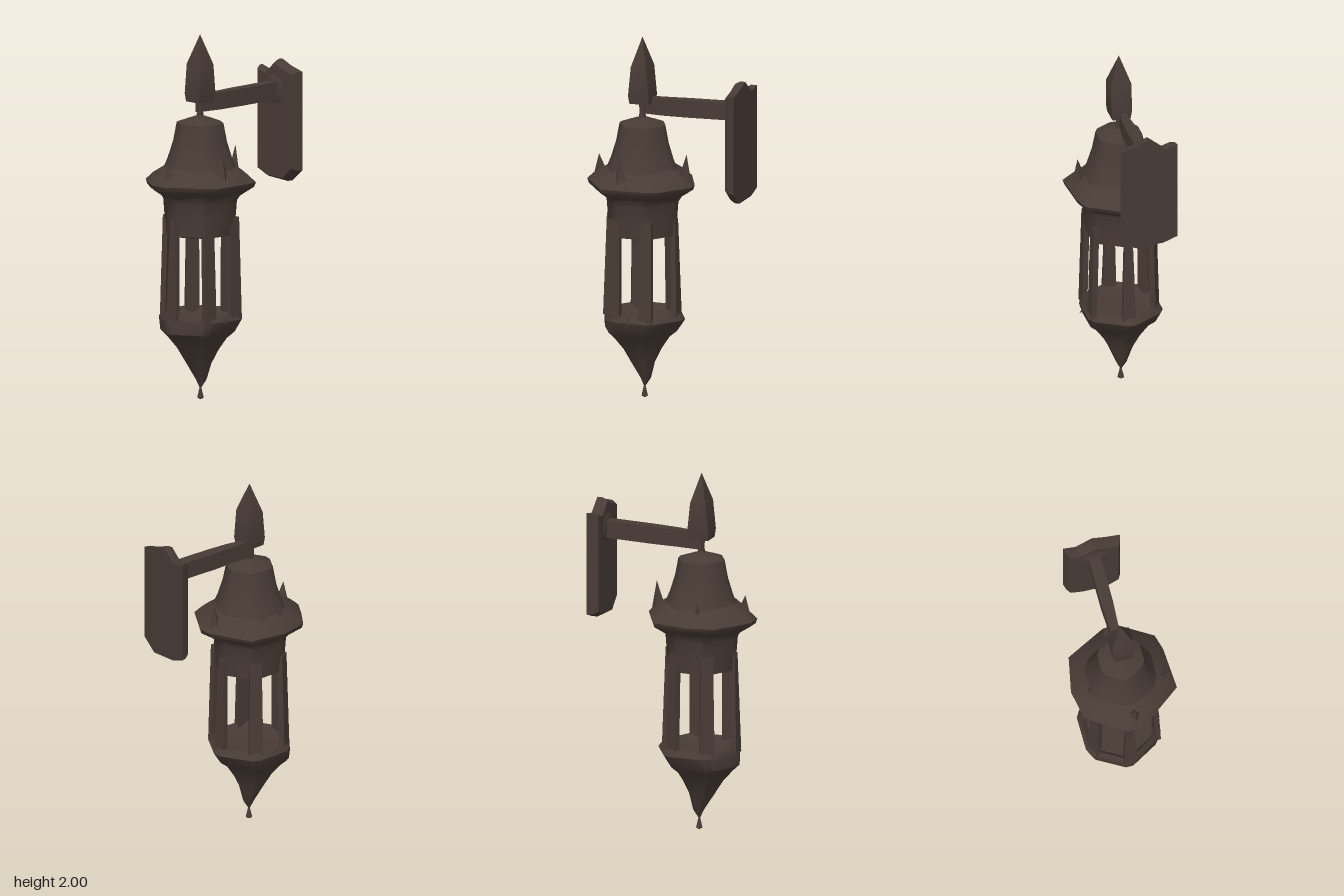
import * as THREE from 'three';
import { toCreasedNormals, mergeVertices } from 'three/addons/utils/BufferGeometryUtils.js';

const AXIS_Z = 0.15; // lantern axis
const bronze = new THREE.MeshStandardMaterial({ color: 0x483b35, side: THREE.DoubleSide });
bronze.name = 'dark bronze';

// Stacked rings: rows of [y, radius, z shift, depth scale]; outline of [angle, radius scale]
function loft(rows, outline) {
  const pos = [], index = [], n = outline.length;
  for (const [y, r, dz = 0, depth = 1] of rows)
    for (const [a, s] of outline) pos.push(r * s * Math.sin(a), y, r * s * depth * Math.cos(a) + dz);
  for (let i = 0; i < rows.length - 1; i++)
    for (let j = 0; j < n; j++) {
      const a = i * n + j, b = i * n + (j + 1) % n;
      index.push(a, b, b + n, a, b + n, a + n);
    }
  const g = new THREE.BufferGeometry();
  g.setAttribute('position', new THREE.Float32BufferAttribute(pos, 3));
  g.setIndex(index);
  return toCreasedNormals(mergeVertices(g), 0.7);
}

// Move every vertex by a rule
function reshape(g, rule) {
  const p = g.attributes.position, v = new THREE.Vector3();
  for (let i = 0; i < p.count; i++) {
    rule(v.fromBufferAttribute(p, i));
    p.setXYZ(i, v.x, v.y, v.z);
  }
  g.deleteAttribute('normal');
  g.deleteAttribute('uv');
  return toCreasedNormals(mergeVertices(g), 0.6);
}

// Hexagon with clipped corners, one corner facing the front
const hexagon = (cut) => {
  const out = [];
  for (let i = 0; i < 6; i++) out.push([i * Math.PI / 3 - cut, 1], [i * Math.PI / 3 + cut, 1]);
  return out;
};

export function createModel() {
  const model = new THREE.Group();
  model.name = 'wallLantern';
  const lantern = new THREE.Group();
  lantern.name = 'lantern';
  lantern.position.z = AXIS_Z;
  model.add(lantern);
  const add = (parent, name, geometry) => {
    const m = new THREE.Mesh(geometry, bronze);
    m.name = name;
    parent.add(m);
    return m;
  };

  // Domed roof
  add(lantern, 'roof', loft([
    [1.22, 0.22], [1.27, 0.2], [1.33, 0.175], [1.42, 0.147],
    [1.52, 0.128], [1.555, 0.03], [1.56, 0.001],
  ], hexagon(0.15)));

  // Uneven flared eave
  const eaveOutline = [[9, 1], [65, 1], [111, 0.92], [128, 0.99], [170, 1], [184, 0.97],
    [232, 0.99], [272, 0.91], [304, 0.98], [328, 0.92], [351, 1]]
    .map(([deg, s]) => [THREE.MathUtils.degToRad(deg), s]);
  add(lantern, 'eave', loft([
    [1.11, 0.2], [1.14, 0.245], [1.175, 0.3], [1.2, 0.309], [1.24, 0.265], [1.28, 0.2], [1.3, 0.17],
  ], eaveOutline));

  // Upturned points on the eave: [angle, tip radius, tip height, width]
  const points = [[3, 0.25, 1.335, 0.05], [80, 0.225, 1.37, 0.05],
    [180, 0.26, 1.37, 0.045], [285, 0.205, 1.33, 0.03]];
  for (const [deg, radius, top, width] of points) {
    const height = top - 1.2;
    const point = add(lantern, 'eavePoint', reshape(new THREE.ConeGeometry(width, height, 4), (v) => {
      v.z += radius - (v.y > 0 ? 0 : 0.015);
      v.y += 1.2 + height / 2;
    }));
    point.rotation.y = THREE.MathUtils.degToRad(deg);
  }

  // Skirt below the eave, closed underneath
  add(lantern, 'skirt', loft([
    [0.915, 0.001], [0.905, 0.15], [0.915, 0.188], [1.0, 0.195], [1.1, 0.203], [1.14, 0.23],
  ], hexagon(0.12)));

  // Pointed base with a shallow dish and a drop tip
  const base = add(lantern, 'base', loft([
    [0.0, 0.001, -0.01], [0.01, 0.018, -0.01], [0.065, 0.005, -0.01], [0.11, 0.03, -0.015],
    [0.2, 0.07, 0.003], [0.28, 0.115, 0.008], [0.345, 0.165, 0.015], [0.38, 0.205, 0.012],
    [0.45, 0.23, -0.01], [0.485, 0.208, -0.005], [0.455, 0.18], [0.45, 0.001],
  ], hexagon(0.1)));
  base.position.x = -0.008;
  // Small barb on the rim
  const barb = add(lantern, 'rimBarb', new THREE.ConeGeometry(0.022, 0.06, 4));
  barb.position.set(0.198, 0.452, 0);
  barb.rotation.z = -2.2;

  // Six posts, wider at the foot
  const postTurn = [0, 0.5, -0.5, 0, 0, 0];
  postTurn.forEach((turn, i) => {
    const corner = new THREE.Group();
    corner.name = 'corner' + (i + 1);
    corner.rotation.y = i * Math.PI / 3;
    lantern.add(corner);
    const slim = i % 3 === 0;
    const post = add(corner, 'post', reshape(new THREE.BoxGeometry(slim ? 0.04 : 0.065, 0.56, 0.03), (v) => {
      if (v.y < 0) {
        v.x *= slim ? 1.9 : 1.2;
        v.z += 0.015;
      }
    }));
    post.position.set(0, 0.73, 0.186);
    post.rotation.y = turn;
  });

  // Square pointed finial on a thin neck
  const square = [1, 3, 5, 7].map((k) => [k * Math.PI / 4, 1]);
  add(lantern, 'finial', loft([
    [1.63, 0.001], [1.635, 0.072, 0, 1.1], [1.68, 0.08, 0, 1.08],
    [1.84, 0.083, 0, 0.75], [2.0, 0.001],
  ], square));
  add(lantern, 'neck', loft([[1.54, 0.022], [1.59, 0.015], [1.65, 0.022]], hexagon(0.3)));

  // Arm from the wall plate, narrowing at the lantern
  add(model, 'arm', reshape(new THREE.BoxGeometry(0.066, 0.095, 0.56, 1, 1, 4), (v) => {
    const t = (v.z + 0.28) / 0.56;
    const narrow = t > 0.6 ? 1 - (t - 0.6) * 1.6 : 1;
    v.x = v.x * narrow - 0.003 - (t > 0.9 ? 0.012 : 0);
    v.y += 1.638 - 0.015 * t;
    v.z += -0.12;
  }));

  // Wall plate with clipped corners, narrower on its front face
  const outline = [[-0.08, 1.155], [0.08, 1.145], [0.16, 1.21], [0.16, 1.75],
    [0.07, 1.775], [0, 1.805], [-0.09, 1.735], [-0.16, 1.755], [-0.16, 1.185]];
  const shape = new THREE.Shape(outline.map(([x, y]) => new THREE.Vector2(x, y)));
  const plate = new THREE.ExtrudeGeometry(shape, { depth: 0.06, steps: 2, bevelEnabled: false });
  add(model, 'wallPlate', reshape(plate, (v) => {
    if (v.z > 0.05) {
      v.x *= 0.84;
      v.y = 1.46 + (v.y - 1.46) * 0.95;
    } else if (v.z > 0.01) v.x *= 0.94;
    v.z -= 0.455;
  }));
  // Boss where the arm meets the plate
  const boss = add(model, 'armBoss', loft([[0, 0.085], [0.01, 0.065], [0.014, 0.001]], hexagon(0.25)));
  boss.rotation.x = Math.PI / 2;
  boss.position.set(0, 1.645, -0.398);

  return model;
}
